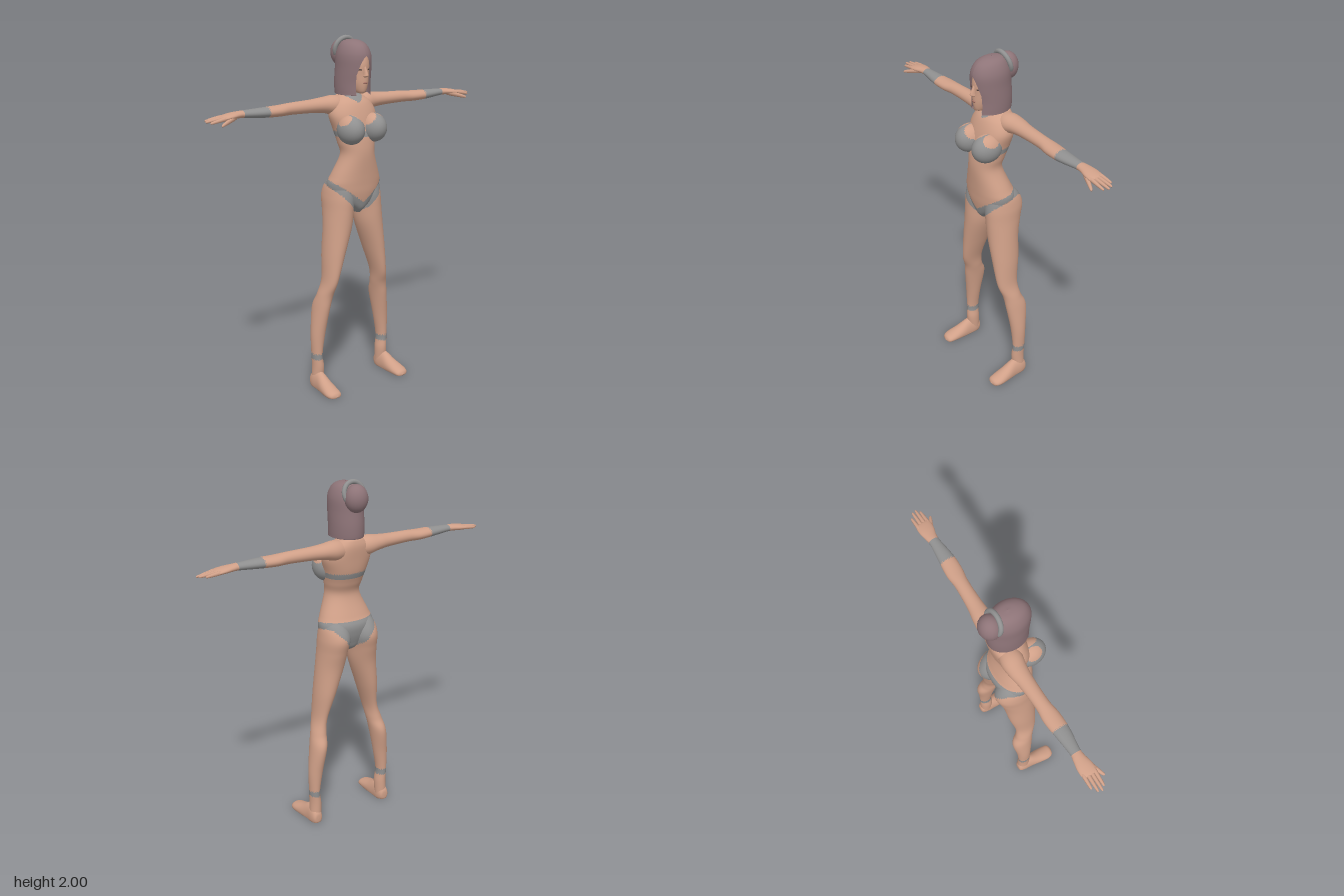
import * as THREE from 'three';

const mat = (name, color, side = THREE.FrontSide) => {
  const m = new THREE.MeshStandardMaterial({ color, side });
  m.name = name;
  return m;
};

// Smooth loft through sections [x, y, z, a, b] along an axis.
// axis y: a = x radius, b = z radius; axis x: a = z, b = y; axis z: a = y, b = x.
// gap(y) gives the half angle left open at the front.
function loft(sections, axis = 'y', seg = 24, sub = 4, gap = null, power = 1) {
  const centres = new THREE.CatmullRomCurve3(sections.map(s => new THREE.Vector3(s[0], s[1], s[2])), false, 'catmullrom');
  const radii = new THREE.CatmullRomCurve3(sections.map(s => new THREE.Vector3(s[3], s[4], 0)), false, 'catmullrom');
  const rows = (sections.length - 1) * sub, n = gap ? seg + 1 : seg;
  const pos = [], index = [];
  const bend = v => Math.sign(v) * Math.abs(v) ** power;
  for (let i = 0; i <= rows; i++) {
    const c = centres.getPoint(i / rows), r = radii.getPoint(i / rows);
    const g = gap ? gap(c.y) : 0;
    for (let j = 0; j < n; j++) {
      const t = g + (2 * Math.PI - 2 * g) * j / seg;
      const s = Math.max(r.x, 0.001) * bend(Math.sin(t)), k = Math.max(r.y, 0.001) * bend(Math.cos(t));
      const [dx, dy, dz] = axis === 'y' ? [s, 0, k] : axis === 'x' ? [0, k, s] : [k, s, 0];
      pos.push(c.x + dx, Math.max(0, c.y + dy), c.z + dz);
    }
  }
  for (let i = 0; i < rows; i++) for (let j = 0; j < seg; j++) {
    const a = i * n + j, b = i * n + (j + 1) % n, c = a + n, d = b + n;
    index.push(a, b, d, a, d, c);
  }
  const geo = new THREE.BufferGeometry();
  geo.setAttribute('position', new THREE.Float32BufferAttribute(pos, 3));
  geo.setIndex(index);
  geo.computeVertexNormals();
  return geo;
}

// Sort faces into two material groups by a rule on their centres
function paint(geo, rule) {
  const p = geo.attributes.position, ix = geo.index.array, lists = [[], []];
  for (let i = 0; i < ix.length; i += 3) {
    const f = [ix[i], ix[i + 1], ix[i + 2]];
    const mid = get => (get(f[0]) + get(f[1]) + get(f[2])) / 3;
    const on = rule(Math.abs(mid(k => p.getX(k))), mid(k => p.getY(k)), mid(k => p.getZ(k)));
    lists[on ? 1 : 0].push(...f);
  }
  geo.setIndex([...lists[0], ...lists[1]]);
  geo.clearGroups();
  geo.addGroup(0, lists[0].length, 0);
  geo.addGroup(lists[0].length, lists[1].length, 1);
  return geo;
}

function mirror(geo) {
  const g = geo.clone().scale(-1, 1, 1), ix = g.index.array;
  for (let i = 0; i < ix.length; i += 3) [ix[i], ix[i + 1]] = [ix[i + 1], ix[i]];
  g.computeVertexNormals();
  return g;
}

// Section from height, half width, front z and back z
const slice = ([y, w, front, back]) => [0, y, (front + back) / 2, w, (front - back) / 2];

// Clothing regions
function briefs(x, y, z) {
  if (y > 1.26) return false;
  const t = THREE.MathUtils.smoothstep(-z, -0.04, 0.05);
  const top = THREE.MathUtils.lerp(1.095 + 0.75 * x, 1.225, t);
  const low = THREE.MathUtils.lerp(1.0 + 1.1 * x, Math.min(1.04 + 1.15 * x, 1.19), t);
  return y < top && y > low;
}
const strap = (x, y, z) => y > 1.465 && y < 1.495 && (z < 0.06 || x < 0.03);
const collar = (x, y, z) => y < 1.73 && y > (z > -0.04 ? 1.642 + 0.7 * x : 1.685);
const cup = (x, y) => y < 1.59 - 0.9 * Math.abs(x - 0.08);

export function createModel() {
  const root = new THREE.Group();
  root.name = 'figure';
  const skin = mat('skin', 0xd0a088), cloth = mat('grey cloth', 0x909090);
  const hairMat = mat('hair', 0x8e7478, THREE.DoubleSide);
  const eyeMat = mat('eye', 0x5c4a44), lipMat = mat('lips', 0xa9776a);
  const add = (name, geo, m) => {
    const mesh = new THREE.Mesh(geo, m);
    mesh.name = name;
    root.add(mesh);
    return mesh;
  };
  const pair = (name, geo, m) => {
    add('left' + name, geo, m);
    add('right' + name, mirror(geo), m);
  };
  const dressed = [skin, cloth];

  // Torso and neck
  const torso = loft([
    [1.03, 0.015, 0.05, -0.03], [1.06, 0.05, 0.075, -0.08], [1.1, 0.11, 0.087, -0.1],
    [1.15, 0.153, 0.096, -0.115], [1.2, 0.163, 0.1, -0.118], [1.25, 0.145, 0.104, -0.095],
    [1.36, 0.1, 0.112, -0.055], [1.43, 0.108, 0.108, -0.075], [1.5, 0.123, 0.095, -0.1],
    [1.58, 0.143, 0.075, -0.112], [1.64, 0.12, 0.05, -0.118], [1.675, 0.08, 0.018, -0.112],
    [1.695, 0.05, -0.005, -0.1], [1.75, 0.043, 0.01, -0.08], [1.8, 0.03, 0.01, -0.06]
  ].map(slice), 'y', 72, 8, null, 0.92);
  add('torso', paint(torso, (x, y, z) => briefs(x, y, z) || strap(x, y, z) || collar(x, y, z)), dressed);

  // Bust
  const bust = new THREE.SphereGeometry(1, 48, 40).scale(0.07, 0.08, 0.088).translate(0.076, 1.507, 0.072);
  pair('Bust', paint(bust, cup), dressed);

  // Legs with anklets
  const leg = loft([
    [0.235, 0.03, -0.045, 0.034, 0.036], [0.232, 0.12, -0.04, 0.033, 0.04], [0.237, 0.2, -0.042, 0.03, 0.038],
    [0.228, 0.33, -0.042, 0.041, 0.046], [0.207, 0.48, -0.04, 0.045, 0.065], [0.192, 0.56, -0.02, 0.043, 0.056],
    [0.172, 0.65, 0, 0.038, 0.065], [0.142, 0.8, -0.007, 0.058, 0.083], [0.11, 0.95, -0.012, 0.076, 0.094],
    [0.098, 1.05, -0.022, 0.079, 0.107], [0.09, 1.13, -0.03, 0.082, 0.115], [0.088, 1.2, -0.022, 0.068, 0.09],
    [0.085, 1.25, -0.01, 0.03, 0.04], [0.085, 1.26, -0.01, 0.001, 0.001]
  ], 'y', 48, 8);
  pair('Leg', paint(leg, (x, y, z) => briefs(x, y, z) || (y > 0.172 && y < 0.207)), dressed);

  // Feet, flat underneath
  pair('Foot', loft([
    [0.238, 0.03, -0.087, 0.001, 0.001], [0.238, 0.03, -0.082, 0.035, 0.025], [0.237, 0.03, -0.05, 0.07, 0.036],
    [0.238, 0.025, 0, 0.073, 0.037], [0.242, 0.02, 0.06, 0.047, 0.043], [0.246, 0.014, 0.12, 0.03, 0.045],
    [0.244, 0.01, 0.155, 0.02, 0.034], [0.242, 0.008, 0.167, 0.001, 0.001]
  ], 'z', 24, 4), skin);

  // Arms with wrist bands
  const arm = loft([
    [0.02, 1.625, -0.05, 0.045, 0.045], [0.1, 1.63, -0.055, 0.06, 0.054], [0.17, 1.635, -0.06, 0.052, 0.043],
    [0.25, 1.636, -0.057, 0.042, 0.036], [0.38, 1.636, -0.053, 0.038, 0.032], [0.46, 1.633, -0.05, 0.046, 0.03],
    [0.55, 1.634, -0.046, 0.042, 0.027], [0.66, 1.637, -0.048, 0.029, 0.02], [0.7, 1.637, -0.05, 0.032, 0.018],
    [0.75, 1.633, -0.048, 0.042, 0.017], [0.795, 1.628, -0.046, 0.038, 0.012], [0.803, 1.627, -0.046, 0.001, 0.001]
  ], 'x', 28, 8);
  pair('Arm', paint(arm, x => x > 0.53 && x < 0.675), dressed);

  // Fingers and thumb
  const digit = (from, to, r) => loft([0, 0.05, 0.5, 0.93, 1].map((t, i) => {
    const k = [0.05, 1, 0.9, 0.6, 0.05][i] * r;
    return [0, 1, 2].map(d => from[d] + (to[d] - from[d]) * t).concat(k, k);
  }), 'x', 10, 2);
  [[-0.076, 0.858, 1.622], [-0.056, 0.885, 1.622], [-0.036, 0.892, 1.619], [-0.017, 0.875, 1.613]].forEach(([z, tip, y], i) =>
    pair('Finger' + (i + 1), digit([0.77, 1.631, z], [tip, y, z * 1.05], 0.0105), skin));
  pair('Thumb', digit([0.715, 1.632, -0.035], [0.83, 1.6, 0.016], 0.014), skin);

  // Head and face
  add('head', loft([
    [0, 1.697, 0.065, 0.005, 0.008], [0, 1.708, 0.053, 0.027, 0.038], [0, 1.75, 0.03, 0.049, 0.07],
    [0, 1.8, 0.014, 0.062, 0.085], [0, 1.86, 0.004, 0.068, 0.094], [0, 1.92, -0.005, 0.06, 0.08],
    [0, 1.955, -0.01, 0.03, 0.04]
  ], 'y', 32, 4), skin);
  add('nose', loft([
    [0, 1.784, 0.09, 0.004, 0.006], [0, 1.793, 0.1, 0.014, 0.018], [0, 1.803, 0.102, 0.011, 0.02],
    [0, 1.84, 0.094, 0.007, 0.009], [0, 1.86, 0.088, 0.003, 0.004]
  ], 'y', 12, 3), skin);
  const eye = new THREE.SphereGeometry(1, 12, 8).scale(0.011, 0.0045, 0.004).rotateY(0.35).translate(0.027, 1.828, 0.091);
  pair('Eye', eye, eyeMat);
  add('lips', new THREE.SphereGeometry(1, 14, 8).scale(0.015, 0.006, 0.0045).translate(0, 1.757, 0.1), lipMat);

  // Hair, parted around the face
  const opening = y => y < 1.8 ? 0.56 : 0.56 * Math.sqrt(Math.max(0, (1.895 - y) / 0.095));
  add('hair', loft([
    [1.72, 0.045, 0.06, -0.09], [1.692, 0.084, 0.096, -0.12], [1.7, 0.089, 0.098, -0.128],
    [1.76, 0.09, 0.098, -0.13], [1.83, 0.088, 0.106, -0.125], [1.9, 0.085, 0.107, -0.12],
    [1.95, 0.066, 0.083, -0.1], [1.975, 0.038, 0.04, -0.07], [1.983, 0.001, -0.01, -0.014]
  ].map(slice), 'y', 40, 5, opening), hairMat);

  // Bun and its band
  add('bun', new THREE.SphereGeometry(1, 20, 16).scale(0.064, 0.075, 0.06).translate(0, 1.905, -0.112), hairMat);
  const band = add('hairBand', new THREE.TorusGeometry(0.06, 0.013, 10, 32), cloth);
  band.position.set(0, 1.93, -0.09);
  band.rotation.x = 0.28;

  return root;
}
